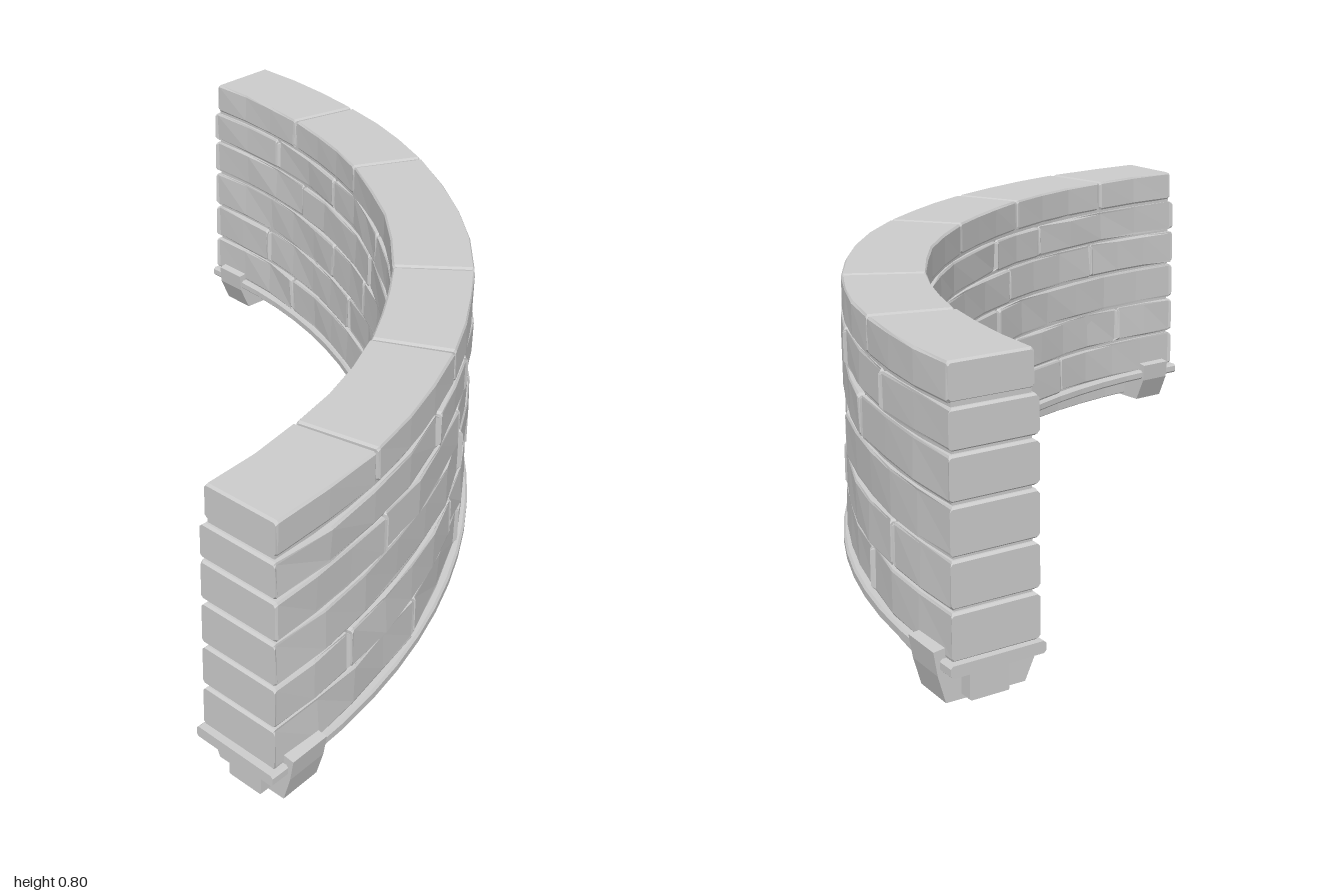
import * as THREE from 'three';

const material = new THREE.MeshStandardMaterial({ color: 0xcccccc, flatShading: true });
const CX = -0.99, CZ = 0.98;          // centre of the quarter circle
const R_IN = 1.72, R_OUT = 1.965;     // wall faces

// Small seeded random, -1..1
let seed = 7;
const rnd = () => {
  seed = (seed * 16807) % 2147483647;
  return (seed / 2147483647) * 2 - 1;
};

// Sweeps closed (radius, height) sections, counter-clockwise, along the arc.
// sections: [{ t: degrees, pts: [[r, y], ...] }]; shear leans each section.
function loft(name, sections) {
  const tri = [];
  const rings = sections.map(({ t, pts, shear = 0 }) => pts.map(([r, y], i) => {
    const a = THREE.MathUtils.degToRad(t + shear * (i / pts.length - 0.5));
    return [CX + r * Math.sin(a), y, CZ - r * Math.cos(a)];
  }));
  const n = rings[0].length;
  for (let k = 0; k < rings.length - 1; k++) {
    for (let i = 0; i < n; i++) {
      const j = (i + 1) % n, p = rings[k], q = rings[k + 1];
      tri.push(p[i], p[j], q[j], p[i], q[j], q[i]);
    }
  }
  const first = rings[0], last = rings[rings.length - 1];
  for (let i = 1; i < n - 1; i++) {
    tri.push(first[0], first[i + 1], first[i], last[0], last[i], last[i + 1]);
  }
  const geometry = new THREE.BufferGeometry();
  geometry.setAttribute('position', new THREE.Float32BufferAttribute(tri.flat(), 3));
  geometry.computeVertexNormals();
  const mesh = new THREE.Mesh(geometry, material);
  mesh.name = name;
  return mesh;
}

// Rectangle with chamfered corners
function chamferRect(r0, r1, y0, y1, c) {
  return [
    [r0 + c, y0], [r1 - c, y0], [r1, y0 + c], [r1, y1 - c],
    [r1 - c, y1], [r0 + c, y1], [r0, y1 - c], [r0, y0 + c],
  ];
}

// Plain arc of constant section
function arc(name, pts, t0, t1, steps) {
  const sections = [];
  for (let i = 0; i <= steps; i++) sections.push({ t: t0 + (t1 - t0) * i / steps, pts });
  return loft(name, sections);
}

// One worn stone: bevelled all round, slightly uneven faces
function stone(name, t0, t1, y0, y1, r0, r1, wear) {
  const steps = Math.max(1, Math.round((t1 - t0) / 5));
  const bevel = 0.22, c = 0.006, sections = [];
  const inset = 0.005;
  const ends = chamferRect(r0 + inset, r1 - inset, y0 + inset, y1 - inset, c);
  const shear = { start: t0 > 1 ? rnd() * 0.4 : 0, end: t1 < 89 ? rnd() * 0.4 : 0 };
  sections.push({ t: t0, pts: ends, shear: shear.start });
  for (let i = 0; i <= steps; i++) {
    const t = t0 + bevel + (t1 - t0 - 2 * bevel) * i / steps;
    const a = r0 + Math.abs(rnd()) * wear, b = r1 - Math.abs(rnd()) * wear;
    const pts = chamferRect(a, b, y0, y1, c);
    // uneven lower and upper edges of both faces
    for (const k of [2, 3]) pts[k][0] -= Math.abs(rnd()) * wear * 0.6;
    for (const k of [6, 7]) pts[k][0] += Math.abs(rnd()) * wear * 0.6;
    sections.push({ t, pts, shear: i === 0 ? shear.start : i === steps ? shear.end : 0 });
  }
  sections.push({ t: t1, pts: ends, shear: shear.end });
  return loft(name, sections);
}

// Courses from bottom to top: heights and joint angles in degrees
const courses = [
  { y: [0.112, 0.228], joints: [14, 36.8, 59.3, 72] },
  { y: [0.236, 0.35], joints: [9, 27.5, 50, 63.5, 81.8] },
  { y: [0.358, 0.475], joints: [23.3, 32.3, 46, 59.5] },
  { y: [0.484, 0.592], joints: [15.9, 34, 45, 62, 77.3] },
  { y: [0.6, 0.697], joints: [10.7, 22.9, 36.6, 59.3, 68] },
  { y: [0.706, 0.8], joints: [14, 27.6, 50.3, 64, 78.8], coping: true },
];

export function createModel() {
  seed = 7;
  const model = new THREE.Group();
  model.name = 'curvedStoneWall';

  // Mortar core behind the joints
  model.add(arc('mortarCore', chamferRect(1.738, 1.945, 0.1, 0.785, 0.004), 0.4, 89.6, 24));

  // Stone courses
  courses.forEach(({ y, joints, coping }, row) => {
    const group = new THREE.Group();
    group.name = coping ? 'copingCourse' : `stoneCourse${row + 1}`;
    const start = coping ? 0.3 : 0, end = coping ? 89.7 : 90;
    const cuts = [start, ...joints, end];
    const inset = coping ? 0.008 : 0;
    for (let i = 0; i < cuts.length - 1; i++) {
      const t0 = cuts[i] + (i ? 0.13 : 0);
      const t1 = cuts[i + 1] - (i < cuts.length - 2 ? 0.13 : 0);
      group.add(stone(coping ? 'copingStone' : 'wallStone', t0, t1, y[0], y[1],
        R_IN + inset, R_OUT - inset, coping ? 0.005 : 0.012));
    }
    model.add(group);
  });

  // Thin ledge under the stones and the recessed plinth below it
  model.add(arc('ledge', chamferRect(1.715, 1.97, 0.08, 0.11, 0.006), -0.3, 90.5, 24));
  model.add(arc('plinth', chamferRect(1.81, 1.915, 0.01, 0.082, 0.003), 0, 90, 24));

  // Tapered feet clasping the plinth near both ends
  const foot = [
    [1.745, 0], [1.955, 0], [1.975, 0.07], [1.985, 0.13],
    [1.95, 0.135], [1.74, 0.135], [1.705, 0.13], [1.71, 0.075],
  ];
  for (const [name, t] of [['rightFoot', 2.9], ['leftFoot', 87.2]]) {
    model.add(arc(name, foot, t - 1.75, t + 1.75, 1));
  }
  return model;
}
